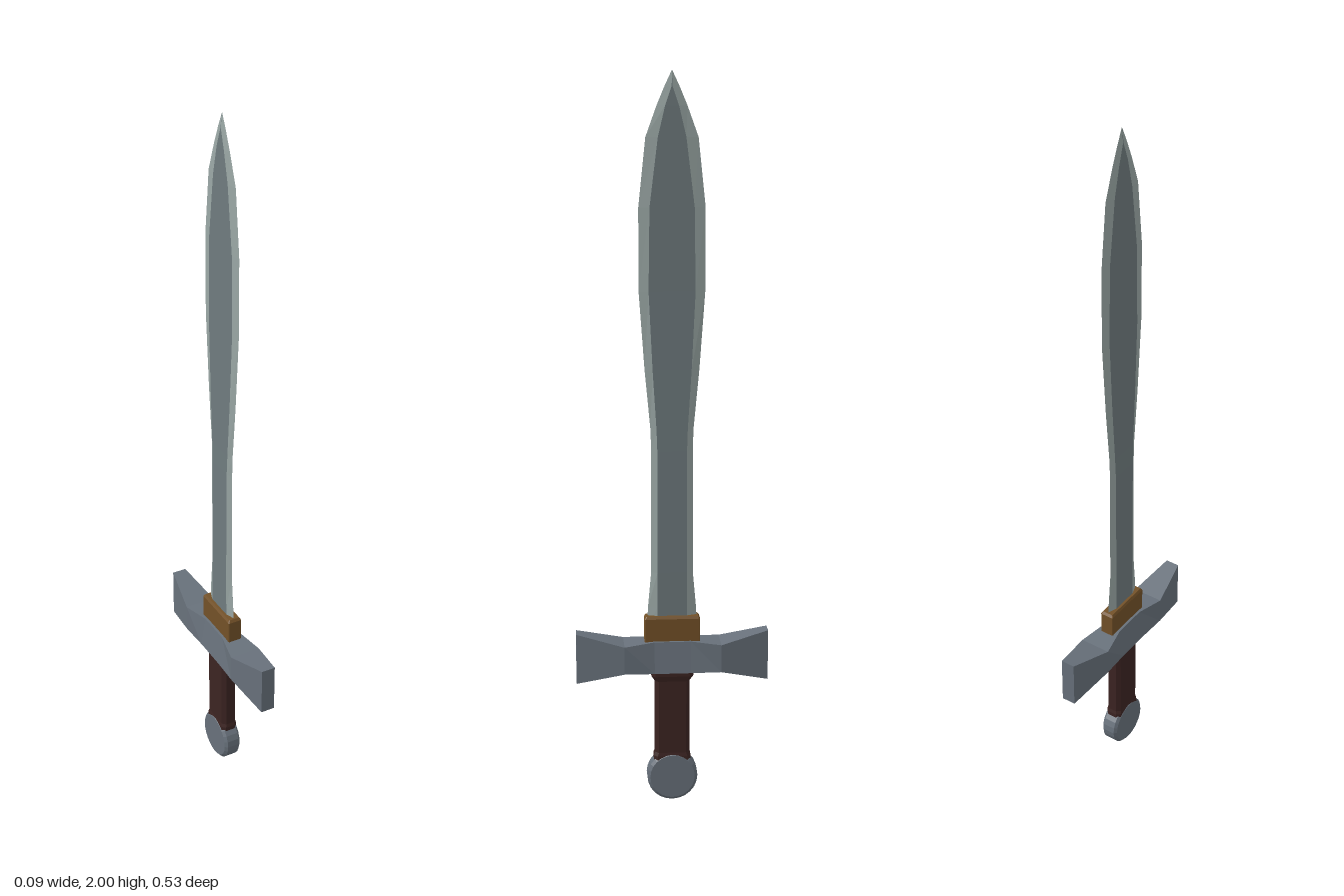
import * as THREE from 'three';

const mat = (color) => new THREE.MeshStandardMaterial({ color, flatShading: true });
const steel = mat(0x68717b), brass = mat(0x735128), leather = mat(0x3c2422);
const bladeFlat = mat(0x6f7b7e), bladeEdge = mat(0x9ba8a6);

// Skin a list of equal-length rings; `keep` picks which sides to build.
function loft(rings, keep = () => true, caps = true) {
  const pos = [];
  const tri = (...pts) => pts.forEach((p) => pos.push(...p));
  const n = rings[0].length;
  for (let k = 0; k < rings.length - 1; k++) {
    const a = rings[k], b = rings[k + 1];
    for (let i = 0; i < n; i++) {
      if (!keep(i)) continue;
      const j = (i + 1) % n;
      tri(a[i], a[j], b[j]);
      tri(a[i], b[j], b[i]);
    }
  }
  if (caps) {
    const first = rings[0], last = rings[rings.length - 1];
    for (let i = 1; i < n - 1; i++) {
      tri(first[0], first[i + 1], first[i]);
      tri(last[0], last[i], last[i + 1]);
    }
  }
  const g = new THREE.BufferGeometry();
  g.setAttribute('position', new THREE.Float32BufferAttribute(pos, 3));
  g.computeVertexNormals();
  return g;
}

// Horizontal rectangle with cut corners, half sizes x and z
const octagon = (y, x, z, c) => [
  [x, y, z - c], [x, y, c - z], [x - c, y, -z], [c - x, y, -z],
  [-x, y, c - z], [-x, y, z - c], [c - x, y, z], [x - c, y, z],
];

export function createModel() {
  const sword = new THREE.Group();
  sword.name = 'sword';
  const add = (name, geometry, material) => {
    const m = new THREE.Mesh(geometry, material);
    m.name = name;
    sword.add(m);
    return m;
  };

  // Leaf-shaped blade: height, half width, half width of the flat, half thickness
  const bladeRings = [
    [0.5, 0.069, 0.041, 0.009],
    [0.56, 0.066, 0.041, 0.009],
    [0.66, 0.057, 0.04, 0.009],
    [1.0, 0.056, 0.04, 0.008],
    [1.06, 0.058, 0.042, 0.007],
    [1.22, 0.073, 0.052, 0.006],
    [1.43, 0.088, 0.062, 0.005],
    [1.65, 0.088, 0.059, 0.005],
    [1.83, 0.069, 0.037, 0.005],
    [1.91, 0.04, 0.018, 0.005],
    [1.96, 0.019, 0.001, 0.004],
    [2.0, 0, 0, 0],
  ].map(([y, w, f, t]) => [
    [t, y, f], [t, y, -f], [0, y, -w], [-t, y, -f], [-t, y, f], [0, y, w],
  ]);
  add('bladeFlats', loft(bladeRings, (i) => i % 3 === 0, false), bladeFlat);
  add('bladeEdges', loft(bladeRings, (i) => i % 3 !== 0, false), bladeEdge);

  // Collar at the blade root, with a slightly bevelled top
  add('collar', loft([
    octagon(0.44, 0.02, 0.076, 0.002),
    octagon(0.53, 0.02, 0.076, 0.002),
    octagon(0.537, 0.016, 0.071, 0.002),
  ]), brass);

  // Crossguard, swept along z: z, bottom, top, half width below, half width above
  add('crossguard', loft([
    [-0.264, 0.35, 0.492, 0.02, 0.02],
    [-0.133, 0.382, 0.46, 0.044, 0.044],
    [-0.05, 0.38, 0.467, 0.04, 0.027],
    [0.05, 0.38, 0.467, 0.04, 0.027],
    [0.133, 0.382, 0.46, 0.044, 0.044],
    [0.264, 0.35, 0.492, 0.02, 0.02],
  ].map(([z, lo, hi, wl, wh]) => [[wl, lo, z], [wh, hi, z], [-wh, hi, z], [-wl, lo, z]])), steel);

  // Grip with cut corners, flaring under the guard
  add('grip', loft([
    octagon(0.11, 0.024, 0.051, 0.01),
    octagon(0.13, 0.024, 0.051, 0.01),
    octagon(0.14, 0.022, 0.048, 0.01),
    octagon(0.35, 0.022, 0.048, 0.01),
    octagon(0.365, 0.025, 0.058, 0.01),
    octagon(0.39, 0.025, 0.058, 0.01),
  ]), leather);

  // Disc pommel, its axis across the sword
  const profile = [[0, -0.025], [0.062, -0.025], [0.07, -0.018], [0.07, 0.018], [0.062, 0.025], [0, 0.025]];
  const pommel = add('pommel', new THREE.LatheGeometry(profile.map((p) => new THREE.Vector2(...p)), 24), steel);
  pommel.rotation.z = Math.PI / 2;
  pommel.position.y = 0.07;

  return sword;
}
